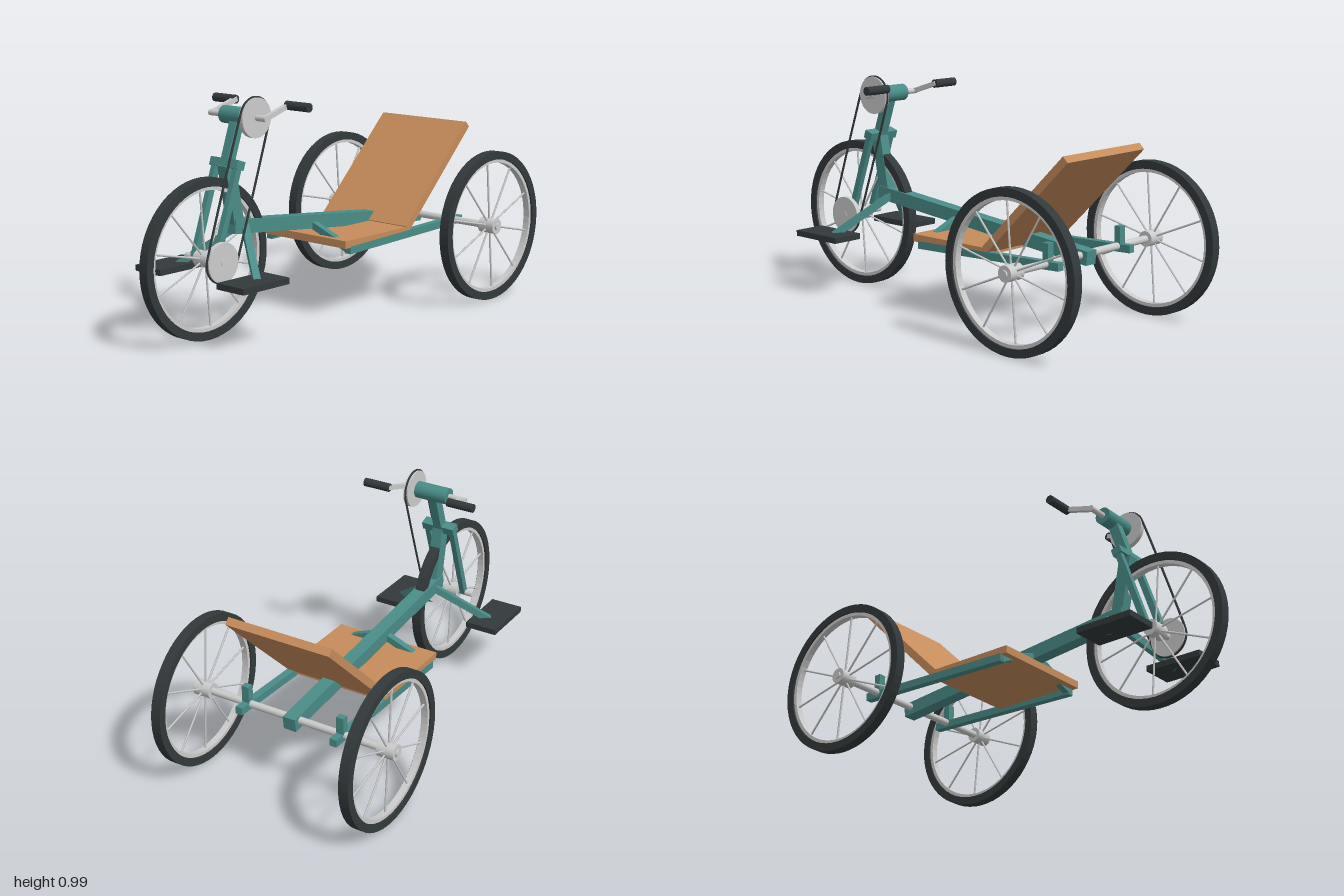
import * as THREE from 'three';

const mat = (color, flatShading = false) => new THREE.MeshStandardMaterial({ color, flatShading });
const teal = mat(0x4a8c88);
const wood = mat(0xc68c5c);
const rubber = mat(0x33393b);
const rubberFlat = mat(0x33393b, true);
const metal = mat(0xcccccc);
const metalFlat = mat(0xcccccc, true);
const V = (x, y, z) => new THREE.Vector3(x, y, z);

export function createModel() {
  const model = new THREE.Group();
  model.name = 'handTricycle';

  const add = (name, geometry, material, parent = model) => {
    const mesh = new THREE.Mesh(geometry, material);
    mesh.name = name;
    parent.add(mesh);
    return mesh;
  };
  const box = (name, w, h, d, x, y, z, material) => {
    const m = add(name, new THREE.BoxGeometry(w, h, d), material);
    m.position.set(x, y, z);
    return m;
  };
  // Rectangular bar between two points
  const bar = (name, a, b, w, h, material = teal) => {
    const m = add(name, new THREE.BoxGeometry(w, h, a.distanceTo(b)), material);
    m.position.copy(a).lerp(b, 0.5);
    m.lookAt(b);
    return m;
  };
  // Round rod between two points
  const rod = (name, a, b, r, material = metal, sides = 20, parent = model) => {
    const m = add(name, new THREE.CylinderGeometry(r, r, a.distanceTo(b), sides), material, parent);
    m.position.copy(a).lerp(b, 0.5);
    m.quaternion.setFromUnitVectors(V(0, 1, 0), b.clone().sub(a).normalize());
    return m;
  };
  // Square-section ring about the x axis
  const ring = (inner, outer, half) => new THREE.LatheGeometry([
    [inner, -half], [outer, -half], [outer, half], [inner, half], [inner, -half],
  ].map(([r, y]) => new THREE.Vector2(r, y)), 56).rotateZ(Math.PI / 2);

  // Wheels
  const wheel = (name, x, z) => {
    const g = new THREE.Group();
    g.name = name;
    g.position.set(x, 0.335, z);
    model.add(g);
    add('tyre', ring(0.3, 0.335, 0.0225), rubberFlat, g);
    add('rim', ring(0.285, 0.302, 0.015), metalFlat, g);
    rod('hub', V(-0.04, 0, 0), V(0.04, 0, 0), 0.034, metal, 20, g);
    for (let i = 0; i < 10; i++) {
      const a = (95 + 36 * i) * Math.PI / 180;
      const dir = V(0, Math.sin(a), -Math.cos(a));
      rod('spoke', dir.clone().multiplyScalar(0.025), dir.clone().multiplyScalar(0.29), 0.0045, metal, 6, g);
    }
  };
  wheel('frontWheel', 0, 0.665);
  wheel('rearWheelLeft', 0.449, -0.665);
  wheel('rearWheelRight', -0.449, -0.665);
  rod('rearAxle', V(-0.497, 0.335, -0.665), V(0.497, 0.335, -0.665), 0.016);
  rod('frontAxle', V(-0.11, 0.335, 0.665), V(0.11, 0.335, 0.665), 0.014);

  // Main frame
  bar('mainBeam', V(0, 0.45, 0.52), V(0, 0.325, -0.7), 0.06, 0.06);
  bar('headStrut', V(0, 0.71, 0.54), V(0, 0.425, 0.485), 0.05, 0.055);

  // Steering column and fork, lying on one inclined line
  const low = V(0, 0.335, 0.665), high = V(0, 0.903, 0.47);
  const along = (t, x = 0) => low.clone().lerp(high, t).setX(x);
  bar('steeringPost', along(0.66), along(0.97), 0.04, 0.045);
  const crown = box('forkCrown', 0.158, 0.036, 0.045, 0, 0.713, 0.535, teal);
  crown.rotation.x = -0.33;
  rod('crankHousing', V(-0.079, 0.903, 0.47), V(0.079, 0.903, 0.47), 0.037, teal, 24);
  rod('crankAxle', V(-0.163, 0.903, 0.47), V(0.163, 0.903, 0.47), 0.013);

  // Drive: two sprockets and a chain
  for (const c of [low, high]) {
    rod('sprocket', V(0.086, c.y, c.z), V(0.108, c.y, c.z), 0.083, metal, 36);
  }
  const slope = Math.atan2(high.y - low.y, high.z - low.z);
  const chainPoints = [];
  [[high, slope - Math.PI / 2], [low, slope + Math.PI / 2]].forEach(([c, start]) => {
    for (let i = 0; i <= 12; i++) {
      const a = start + Math.PI * i / 12;
      chainPoints.push(V(0.097, c.y + 0.084 * Math.sin(a), c.z + 0.084 * Math.cos(a)));
    }
  });
  const chainPath = new THREE.CatmullRomCurve3(chainPoints, true, 'centripetal');
  add('chain', new THREE.TubeGeometry(chainPath, 160, 0.005, 6, true), rubber);

  // Mirrored parts
  for (const s of [1, -1]) {
    bar('forkLeg', along(0.66, s * 0.062), along(0, s * 0.062), 0.025, 0.028);

    // Hand cranks
    bar('crankArm', V(s * 0.153, 0.9, 0.477), V(s * 0.153, 0.947, 0.33), 0.02, 0.02, metal);
    rod('handGrip', V(s * 0.147, 0.945, 0.335), V(s * 0.272, 0.945, 0.335), 0.019, rubber);

    // Footrests
    bar('footrestStrut', V(0, 0.455, 0.44), V(s * 0.235, 0.265, 0.605), 0.03, 0.03);
    box('footPlate', 0.15, 0.026, 0.262, s * 0.241, 0.267, 0.632, rubber);

    // Seat supports
    bar('seatRail', V(s * 0.23, 0.306, 0.05), V(s * 0.23, 0.33, -0.73), 0.033, 0.033);
    bar('seatStrut', V(0, 0.395, 0.037), V(s * 0.235, 0.305, 0.037), 0.03, 0.03);
    box('axleBracket', 0.034, 0.1, 0.03, s * 0.231, 0.37, -0.665, teal);
  }

  // Seat
  box('seatBase', 0.49, 0.033, 0.42, 0, 0.334, -0.13, wood);
  bar('backrest', V(0, 0.342, -0.334), V(0, 0.764, -0.76), 0.49, 0.034, wood);

  return model;
}
